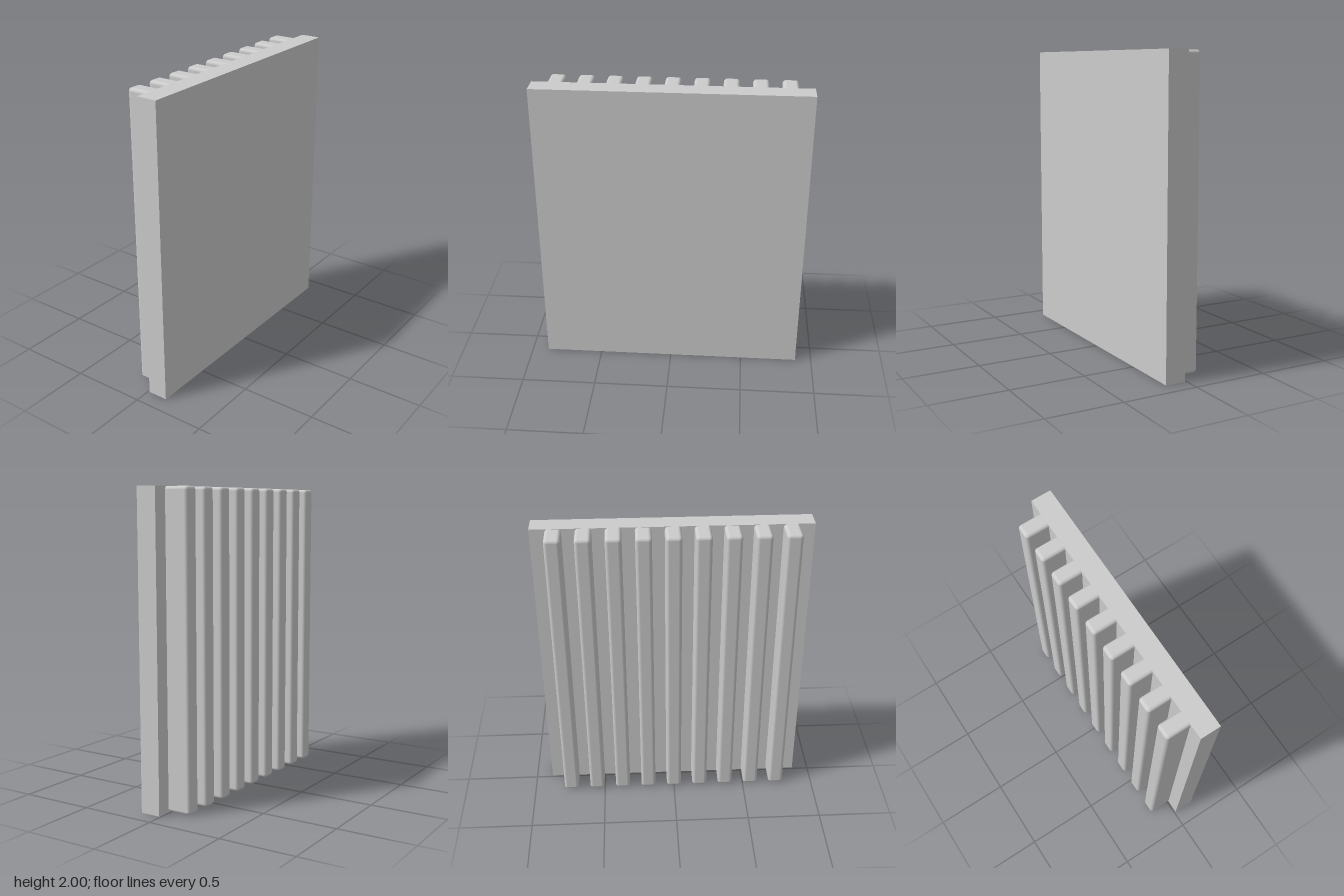
import * as THREE from 'three';
import { RoundedBoxGeometry } from 'three/addons/geometries/RoundedBoxGeometry.js';

export function createModel() {
  const group = new THREE.Group();
  group.name = 'ribbedPanel';
  const material = new THREE.MeshStandardMaterial({ color: 0xcccccc });

  const depth = 0.292;       // overall, panel plus ribs
  const panelDepth = 0.135;
  const back = depth / 2 - panelDepth; // z of the panel's back face

  // Flat backing panel
  const panel = new THREE.Mesh(new THREE.BoxGeometry(1.776, 2, panelDepth), material);
  panel.name = 'panel';
  panel.position.set(0, 1, depth / 2 - panelDepth / 2);
  group.add(panel);

  // Nine upright ribs with rounded edges, sunk slightly into the panel
  const count = 9, spacing = 0.185, sink = 0.025;
  const ribDepth = depth - panelDepth + sink;
  const ribGeometry = new RoundedBoxGeometry(0.102, 1.998, ribDepth, 4, 0.022);
  for (let i = 0; i < count; i++) {
    const rib = new THREE.Mesh(ribGeometry, material);
    rib.name = `rib${i + 1}`;
    rib.position.set((i - (count - 1) / 2) * spacing, 1, back + sink - ribDepth / 2);
    group.add(rib);
  }
  return group;
}
